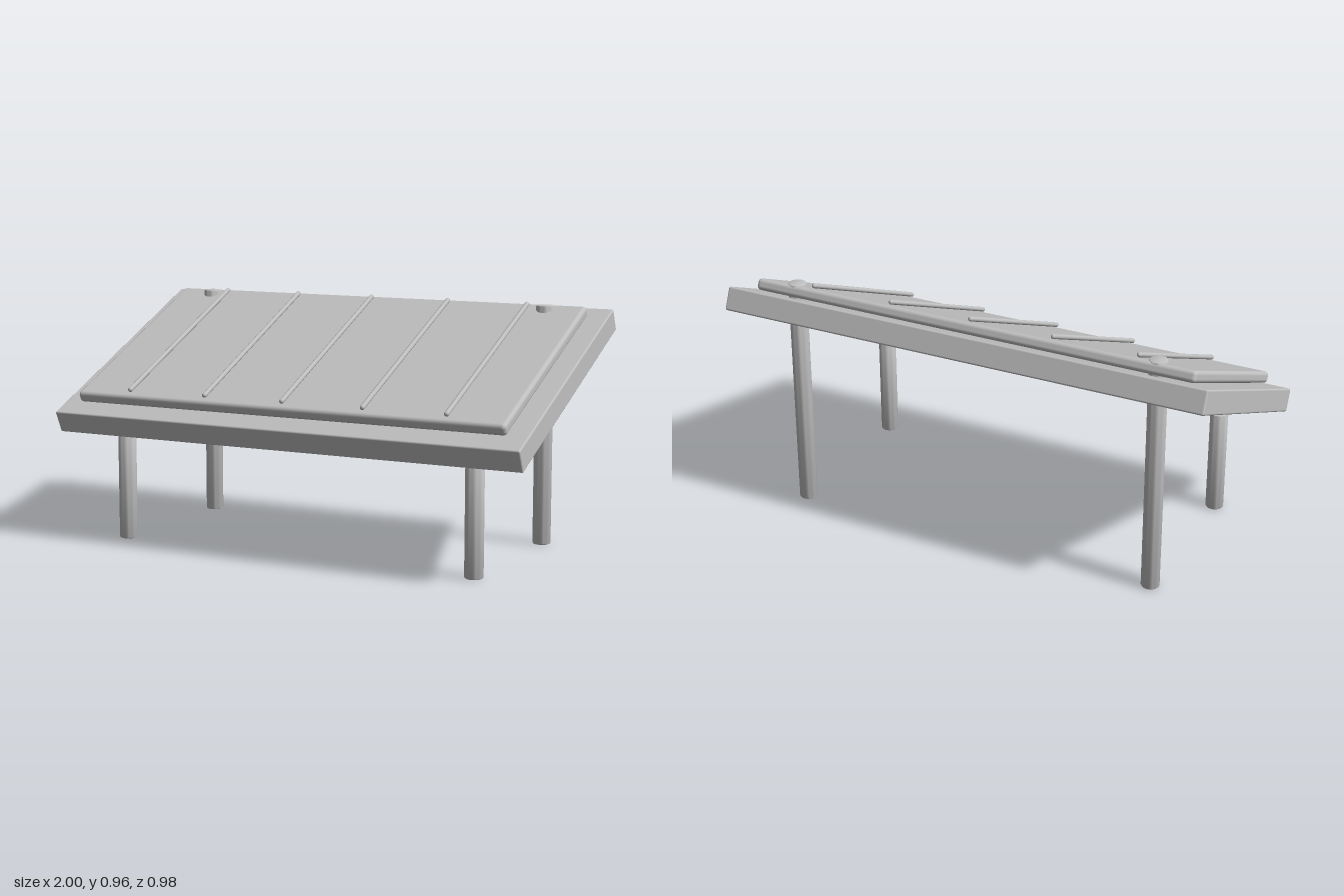
import * as THREE from 'three';
import { RoundedBoxGeometry } from 'three/addons/geometries/RoundedBoxGeometry.js';
import { toCreasedNormals } from 'three/addons/utils/BufferGeometryUtils.js';

export function createModel() {
  const model = new THREE.Group();
  model.name = 'tiltedTable';
  const grey = new THREE.MeshStandardMaterial({ color: 0xc0c0c0 });
  grey.name = 'light grey';

  const add = (parent, name, geometry, x, y, z) => {
    const mesh = new THREE.Mesh(geometry, grey);
    mesh.name = name;
    mesh.position.set(x, y, z);
    parent.add(mesh);
    return mesh;
  };

  // Tilted top: slab, raised panel and ribs share one sloping frame
  const top = new THREE.Group();
  top.name = 'tiltedTop';
  top.position.y = 0.686;
  top.rotation.x = THREE.MathUtils.degToRad(24);
  model.add(top);
  add(top, 'slab', new RoundedBoxGeometry(2, 0.093, 1.04, 3, 0.007), 0, 0, 0);
  add(top, 'panel', new RoundedBoxGeometry(1.845, 0.046, 0.893, 4, 0.016), 0, 0.0755, 0);

  // Five thin round-ended ribs running down the slope
  for (let i = -2; i <= 2; i++) {
    const rib = add(top, 'rib', new THREE.CapsuleGeometry(0.0095, 0.826, 5, 16), i * 0.3425, 0.111, 0);
    rib.rotation.x = Math.PI / 2;
  }

  // Round legs with softened rims; the tall back pair pokes through the panel
  const legGeometry = (height) => {
    const r = 0.036, b = 0.006;
    const profile = [
      [0, 0], [r - b, 0], [r - b * 0.3, b * 0.3], [r, b],
      [r, height - b], [r - b * 0.3, height - b * 0.3], [r - b, height], [0, height],
    ].map(([x, y]) => new THREE.Vector2(x, y));
    return toCreasedNormals(new THREE.LatheGeometry(profile, 32), 0.6);
  };
  for (const side of [-1, 1]) {
    add(model, 'frontLeg', legGeometry(0.43), side * 0.762, 0, 0.336);
    add(model, 'backLeg', legGeometry(0.955), side * 0.762, 0, -0.334);
  }
  return model;
}
